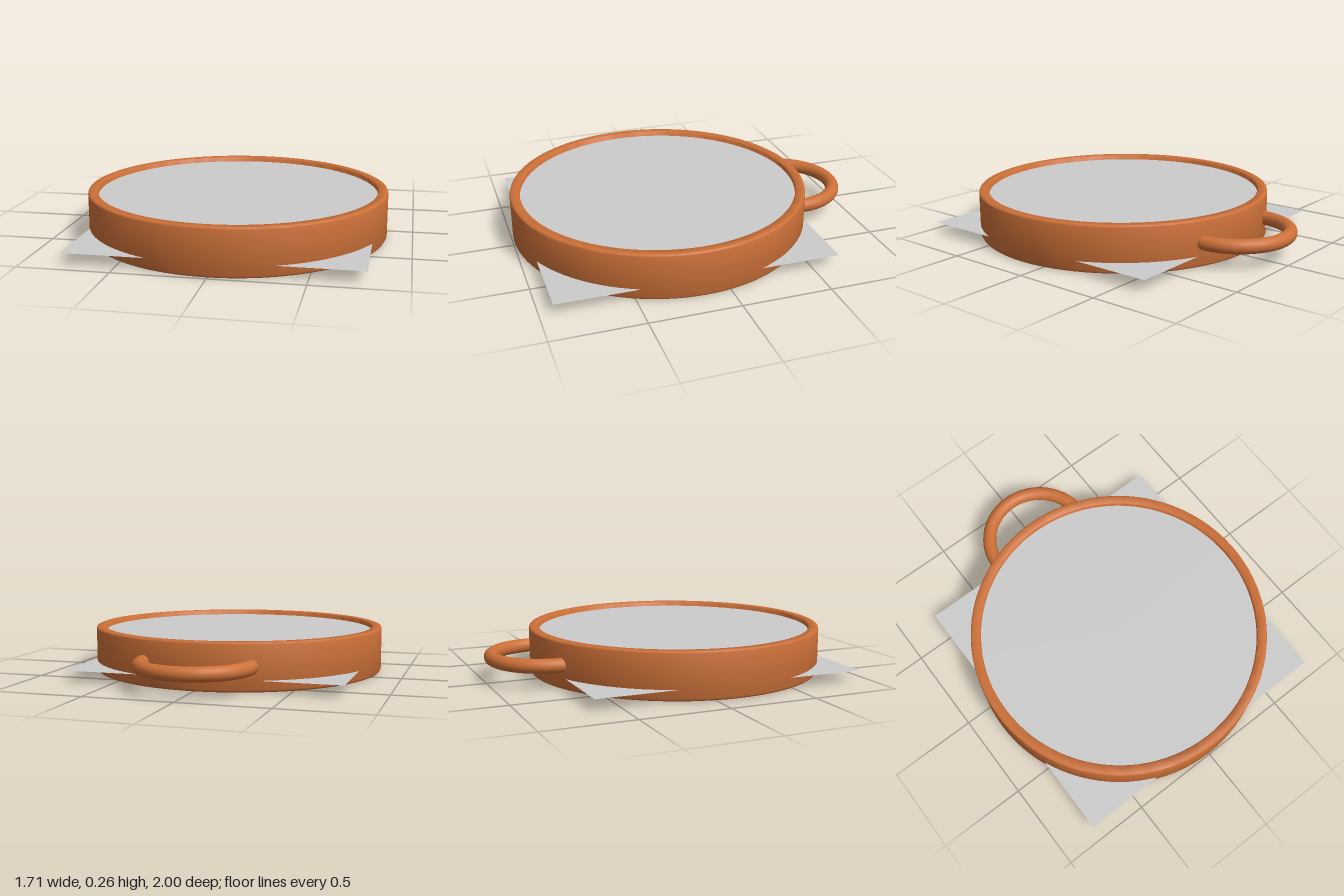
import * as THREE from 'three';
import { toCreasedNormals } from 'three/addons/utils/BufferGeometryUtils.js';

const CENTRE_Z = 0.14;

export function createModel() {
  const model = new THREE.Group();
  const copper = new THREE.MeshStandardMaterial({ color: 0xcc7038 });
  const grey = new THREE.MeshStandardMaterial({ color: 0xcccccc, side: THREE.DoubleSide });

  const add = (name, geometry, material, x, y, z, parent = model) => {
    const mesh = new THREE.Mesh(geometry, material);
    mesh.name = name;
    mesh.position.set(x, y, z);
    parent.add(mesh);
    return mesh;
  };

  // Shallow round dish with softened rim and base edges
  const profile = [
    [0, 0], [0.838, 0], [0.849, 0.004], [0.855, 0.015],
    [0.855, 0.253], [0.852, 0.262], [0.845, 0.265],
    [0.802, 0.265], [0.798, 0.261], [0.798, 0.08], [0, 0.08],
  ].map(([r, y]) => new THREE.Vector2(r, y));
  add('dish', toCreasedNormals(new THREE.LatheGeometry(profile, 96), 0.9), copper, 0, 0, CENTRE_Z);

  // Round face set just below the rim
  const face = new THREE.CircleGeometry(0.799, 96).rotateX(-Math.PI / 2);
  add('face', face, grey, 0, 0.237, CENTRE_Z);

  // Thin square sheet whose corners stick out through the wall
  const sheet = new THREE.PlaneGeometry(1.575, 1.575).rotateX(-Math.PI / 2);
  add('squareSheet', sheet, grey, 0, 0.064, CENTRE_Z);

  // Half-ring handle at the back, its rounded ends sunk into the wall
  const handle = new THREE.Group();
  handle.name = 'handle';
  handle.position.set(0, 0.135, -0.66);
  model.add(handle);
  const ring = new THREE.TorusGeometry(0.3, 0.04, 20, 48, Math.PI).rotateX(-Math.PI / 2);
  add('handleRing', ring, copper, 0, 0, 0, handle);
  for (const side of [-1, 1]) {
    add('handleEnd', new THREE.SphereGeometry(0.04, 20, 14), copper, side * 0.3, 0, 0, handle);
  }

  return model;
}
